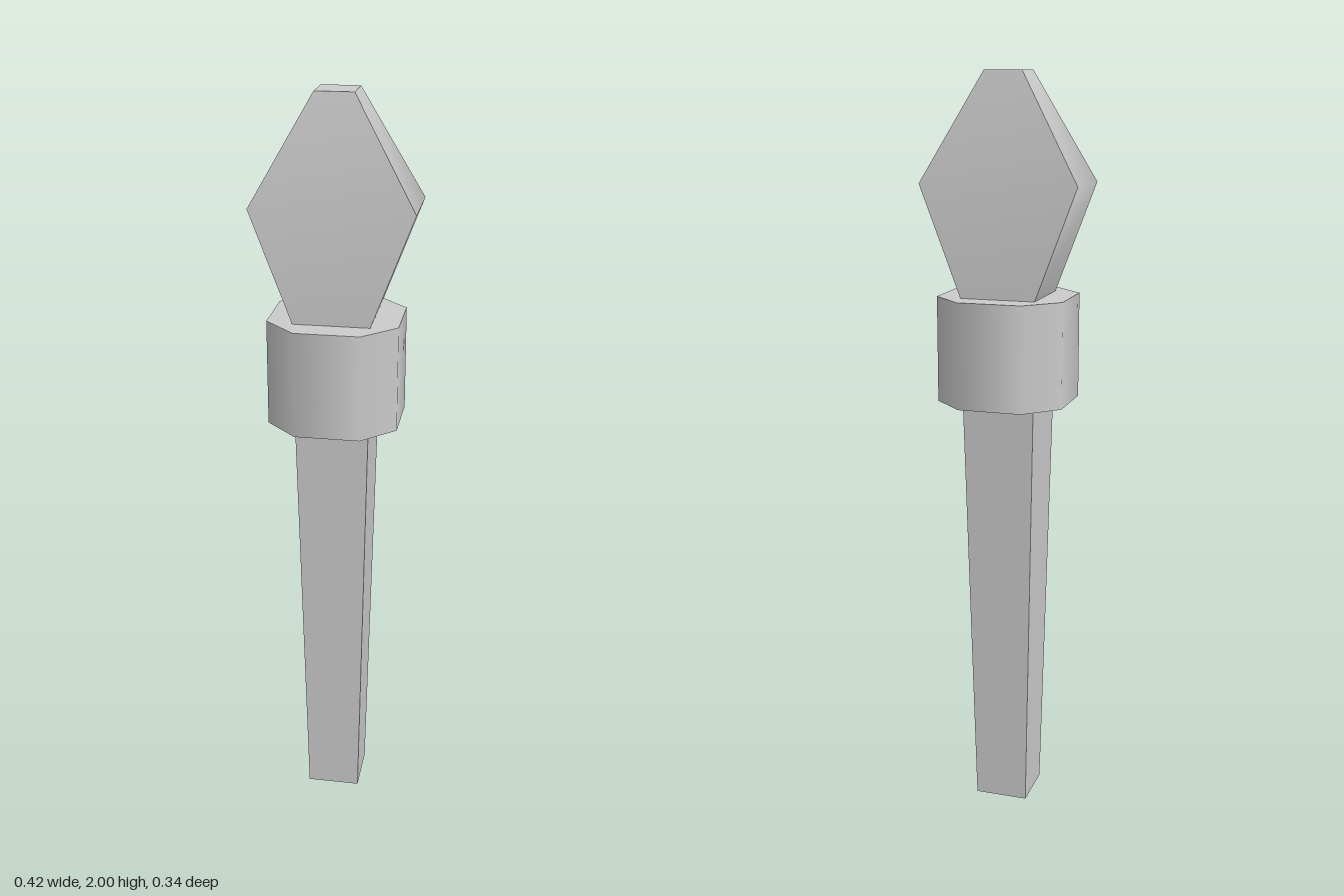
import * as THREE from 'three';

const material = new THREE.MeshStandardMaterial({ color: 0xcccccc });

function addMesh(group, geometry, name) {
  const mesh = new THREE.Mesh(geometry, material);
  mesh.name = name;
  group.add(mesh);
  return mesh;
}

// Four-sided solid through rectangular sections [y, halfX, halfZ], bottom to top.
// Each side is its own strip: smooth along its height, sharp at the corners.
function loftRectangles(sections) {
  const positions = [];
  const indices = [];
  const corner = ([y, hx, hz], i) => [
    [hx, y, hz], [hx, y, -hz], [-hx, y, -hz], [-hx, y, hz],
  ][i % 4];

  for (let side = 0; side < 4; side++) {
    const start = positions.length / 3;
    for (const s of sections) positions.push(...corner(s, side), ...corner(s, side + 1));
    for (let k = 0; k < sections.length - 1; k++) {
      const a = start + k * 2;
      indices.push(a, a + 1, a + 3, a, a + 3, a + 2);
    }
  }
  // End caps
  const addCap = (section, order) => {
    const a = positions.length / 3;
    for (const i of order) positions.push(...corner(section, i));
    indices.push(a, a + 1, a + 2, a, a + 2, a + 3);
  };
  addCap(sections[0], [3, 2, 1, 0]);
  addCap(sections[sections.length - 1], [0, 1, 2, 3]);

  const geometry = new THREE.BufferGeometry();
  geometry.setAttribute('position', new THREE.Float32BufferAttribute(positions, 3));
  geometry.setIndex(indices);
  geometry.computeVertexNormals();
  return geometry;
}

// Eight-sided collar: a square of half width 0.17 with its corners cut at 0.085
function collarGeometry() {
  const geometry = new THREE.CylinderGeometry(0.18, 0.18, 0.28, 8, 1, false, Math.PI / 8);
  const p = geometry.attributes.position;
  const snap = (v) => (Math.abs(v) < 0.01 ? 0 : Math.sign(v) * (Math.abs(v) > 0.1 ? 0.17 : 0.085));
  for (let i = 0; i < p.count; i++) {
    p.setX(i, snap(p.getX(i)));
    p.setZ(i, snap(p.getZ(i)));
  }
  return geometry;
}

export function createModel() {
  const group = new THREE.Group();
  group.name = 'torch';

  // Tapered square handle, running up into the collar
  addMesh(group, loftRectangles([[0, 0.072, 0.072], [1.3, 0.1, 0.1]]), 'handle');

  // Collar holding the flame
  addMesh(group, collarGeometry(), 'collar').position.y = 1.29;

  // Faceted flame, widest at its middle
  addMesh(group, loftRectangles([[1.43, 0.1, 0.1], [1.72, 0.21, 0.1], [2, 0.05, 0.05]]), 'flame');

  return group;
}
